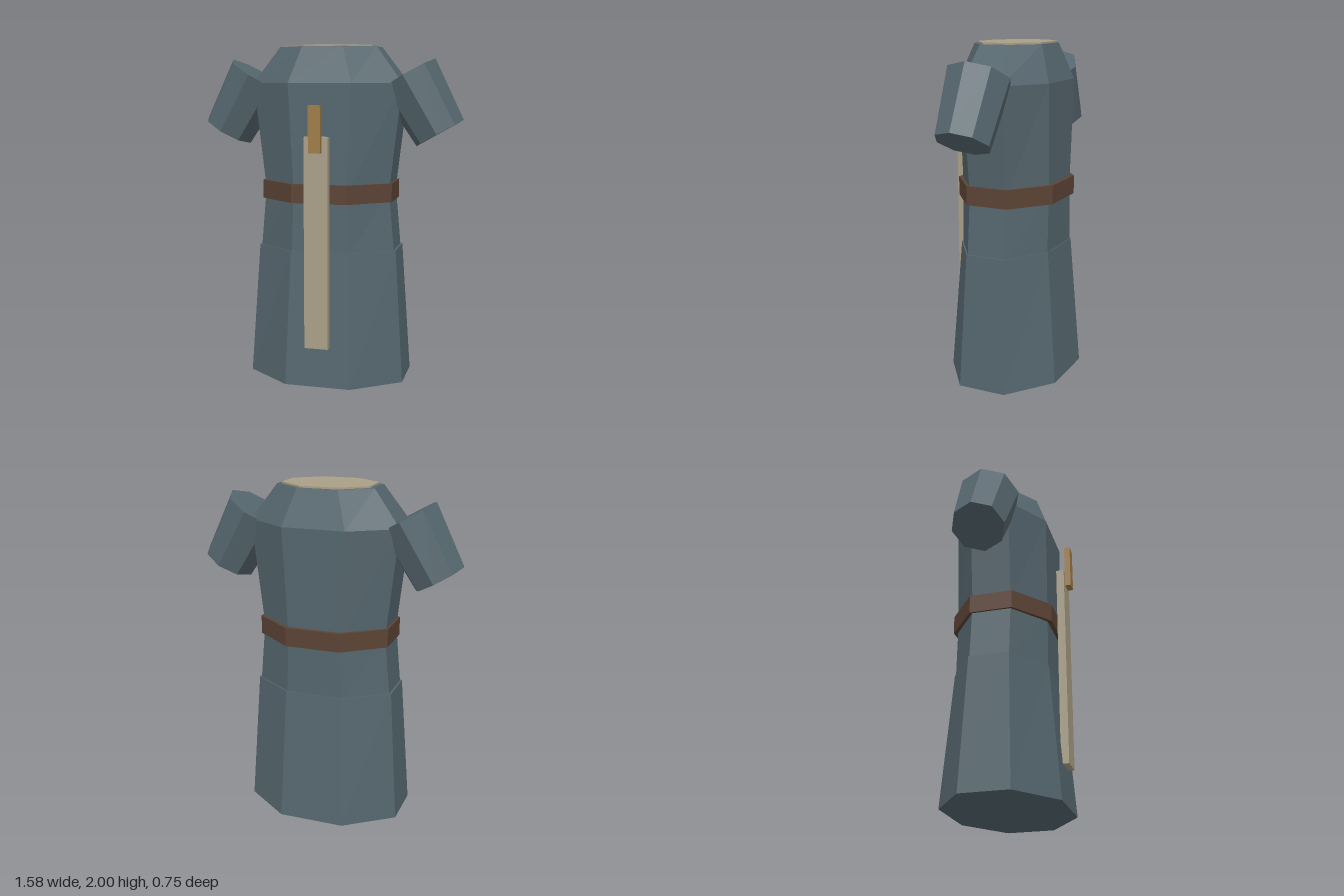
import * as THREE from 'three';

const paint = (color) => new THREE.MeshStandardMaterial({ color, flatShading: true });
const CENTER_Z = -0.026;

// Eight-sided loft through rows of [y, halfWidth, halfDepth], listed bottom to top
function octagonLoft(name, rows, material) {
  const n = rows.length - 1;
  const r = 1 / Math.cos(Math.PI / 8);
  const geo = new THREE.CylinderGeometry(r, r, n, 8, n, false, Math.PI / 8);
  const pos = geo.attributes.position;
  for (let i = 0; i < pos.count; i++) {
    const [y, hw, hd] = rows[Math.round(pos.getY(i) + n / 2)];
    pos.setXYZ(i, pos.getX(i) * hw, y, pos.getZ(i) * hd + CENTER_Z);
  }
  geo.computeVertexNormals();
  const mesh = new THREE.Mesh(geo, material);
  mesh.name = name;
  return mesh;
}

// Box given by its extents
function slab(name, halfWidth, y0, y1, z0, z1, material) {
  const mesh = new THREE.Mesh(new THREE.BoxGeometry(halfWidth * 2, y1 - y0, z1 - z0), material);
  mesh.position.set(0, (y0 + y1) / 2, (z0 + z1) / 2);
  mesh.name = name;
  return mesh;
}

export function createModel() {
  const cloth = paint(0x55666e);
  const linen = paint(0xaaa088);
  const leather = paint(0x5c4335);
  const brass = paint(0xa07c48);

  const model = new THREE.Group();
  model.name = 'robe';

  // Flared skirt and waisted torso with sloping shoulders
  model.add(octagonLoft('skirt', [[0, 0.475, 0.35], [0.8, 0.422, 0.286]], cloth));
  model.add(octagonLoft('torso', [
    [0.78, 0.412, 0.281], [1.15, 0.378, 0.28], [1.78, 0.45, 0.287], [1.99, 0.292, 0.214],
  ], cloth));

  // Neck lining and belt
  model.add(octagonLoft('neckLining', [[1.96, 0.265, 0.203], [2, 0.265, 0.203]], linen));
  model.add(octagonLoft('belt', [[1.09, 0.396, 0.306], [1.2, 0.396, 0.306]], leather));

  // Short tapered sleeves, angled outwards
  for (const side of [1, -1]) {
    const sleeve = new THREE.Mesh(new THREE.CylinderGeometry(0.186, 0.158, 0.39, 8), cloth);
    sleeve.position.set(side * 0.558, 1.659, -0.024);
    sleeve.rotation.z = side * Math.PI / 6;
    sleeve.name = side > 0 ? 'leftSleeve' : 'rightSleeve';
    model.add(sleeve);
  }

  // Hanging front band with its clasp
  model.add(slab('frontBand', 0.071, 0.24, 1.48, 0.294, 0.341, linen));
  model.add(slab('clasp', 0.035, 1.39, 1.66, 0.34, 0.375, brass));

  return model;
}
